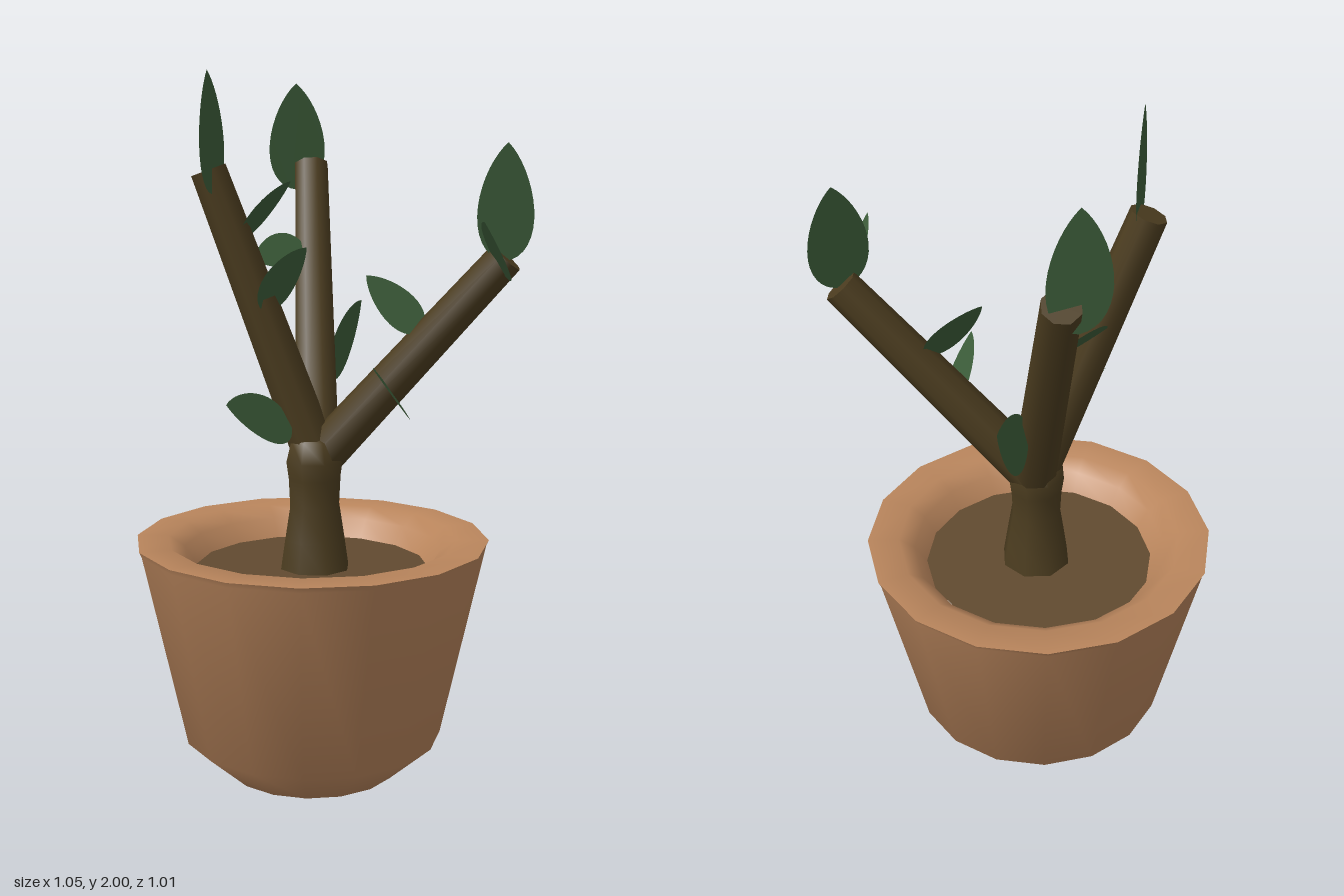
import * as THREE from 'three';
import { toCreasedNormals } from 'three/addons/utils/BufferGeometryUtils.js';

const mat = (color, side = THREE.FrontSide) => new THREE.MeshStandardMaterial({ color, side });
const V = (a) => new THREE.Vector3(...a);

export function createModel() {
  const group = new THREE.Group();
  const clay = mat(0xb9855c);
  const earth = mat(0x614a30);
  const bark = mat(0x4b3c1f);
  const green = mat(0x3c5c39, THREE.DoubleSide);

  const add = (name, geometry, material, x = 0, y = 0, z = 0) => {
    const mesh = new THREE.Mesh(geometry, material);
    mesh.name = name;
    mesh.position.set(x, y, z);
    group.add(mesh);
    return mesh;
  };
  const lathe = (points, sides, crease) => toCreasedNormals(
    new THREE.LatheGeometry(points.map((p) => new THREE.Vector2(...p)), sides), crease);

  // Pot: chamfered foot, flared wall, broad rim and sloping inner lip
  add('pot', lathe([
    [0, 0], [0.25, 0], [0.375, 0.11], [0.5, 0.675], [0.507, 0.69],
    [0.415, 0.69], [0.37, 0.66], [0.325, 0.59],
  ], 16, 0.78), clay, -0.02);

  // Soil
  const soil = add('soil', new THREE.CircleGeometry(0.335, 16), earth, -0.02, 0.607);
  soil.rotation.x = -Math.PI / 2;

  // Trunk: waisted stem that swells at the fork
  add('trunk', lathe([
    [0.105, 0.59], [0.09, 0.69], [0.074, 0.79], [0.078, 0.87],
    [0.085, 0.92], [0.07, 0.98], [0, 1.0],
  ], 8, 1.2), bark, -0.015, 0, 0.01);

  // Branches: tapered limbs from the fork to each tip
  const fork = V([-0.005, 0.92, 0.005]);
  const up = V([0, 1, 0]);
  [[-0.29, 1.735, -0.09], [0.122, 1.74, -0.42], [0.438, 1.505, 0.285]].forEach((end) => {
    const dir = V(end).sub(fork);
    const branch = add('branch', new THREE.CylinderGeometry(0.052, 0.066, dir.length(), 8), bark);
    branch.position.copy(fork).addScaledVector(dir, 0.5);
    branch.quaternion.setFromUnitVectors(up, dir.normalize());
  });

  // Leaf blade: unit length, rounded near the stem and pointed at the tip
  const outline = new THREE.Shape();
  outline.moveTo(0, 0);
  outline.bezierCurveTo(0.2, 0.02, 0.29, 0.22, 0.265, 0.45);
  outline.bezierCurveTo(0.24, 0.68, 0.12, 0.9, 0, 1);
  outline.bezierCurveTo(-0.12, 0.9, -0.24, 0.68, -0.265, 0.45);
  outline.bezierCurveTo(-0.29, 0.22, -0.2, 0.02, 0, 0);
  const blade = new THREE.ShapeGeometry(outline, 8);

  // Each leaf: stem end, tip, facing direction
  const leaves = [
    // upright leaves at the branch tips
    [[-0.28, 1.67, -0.06], [-0.315, 2.0, 0.0], [0.8, 0, 0.6]],
    [[0.085, 1.665, -0.44], [0.07, 1.98, -0.41], [-0.12, 0, 1]],
    [[0.43, 1.495, 0.29], [0.45, 1.81, 0.26], [0, 0, 1]],
    // leaves along the limbs
    [[-0.215, 1.555, -0.05], [-0.045, 1.7, -0.11], [0.63, -0.525, 0.57]],
    [[0.045, 1.515, -0.275], [-0.135, 1.475, -0.17], [0.27, 0.58, 0.68]],
    [[-0.175, 1.36, 0.01], [-0.025, 1.52, -0.03], [0.42, -0.2, 0.88]],
    [[0.245, 1.3, 0.165], [0.1, 1.45, 0.11], [0.08, 0.38, 0.9]],
    [[0.19, 1.085, 0.165], [0.035, 1.22, 0.35], [0.77, 0.58, 0.25]],
    [[-0.09, 1.025, 0.03], [-0.315, 1.12, 0.155], [0.58, 0.49, 0.65]],
    [[0.42, 1.46, 0.31], [0.29, 1.61, 0.46], [0.8, 0.5, 0.2]],
    [[0.085, 1.135, -0.15], [0.245, 1.335, -0.31], [0.72, -0.1, 0.6]],
  ];
  leaves.forEach(([stem, tip, facing]) => {
    const along = V(tip).sub(V(stem));
    const length = along.length();
    along.normalize();
    const across = along.clone().cross(V(facing)).normalize();
    const normal = across.clone().cross(along);
    const leaf = add('leaf', blade, green, ...stem);
    leaf.quaternion.setFromRotationMatrix(new THREE.Matrix4().makeBasis(across, along, normal));
    leaf.scale.setScalar(length);
  });

  return group;
}
